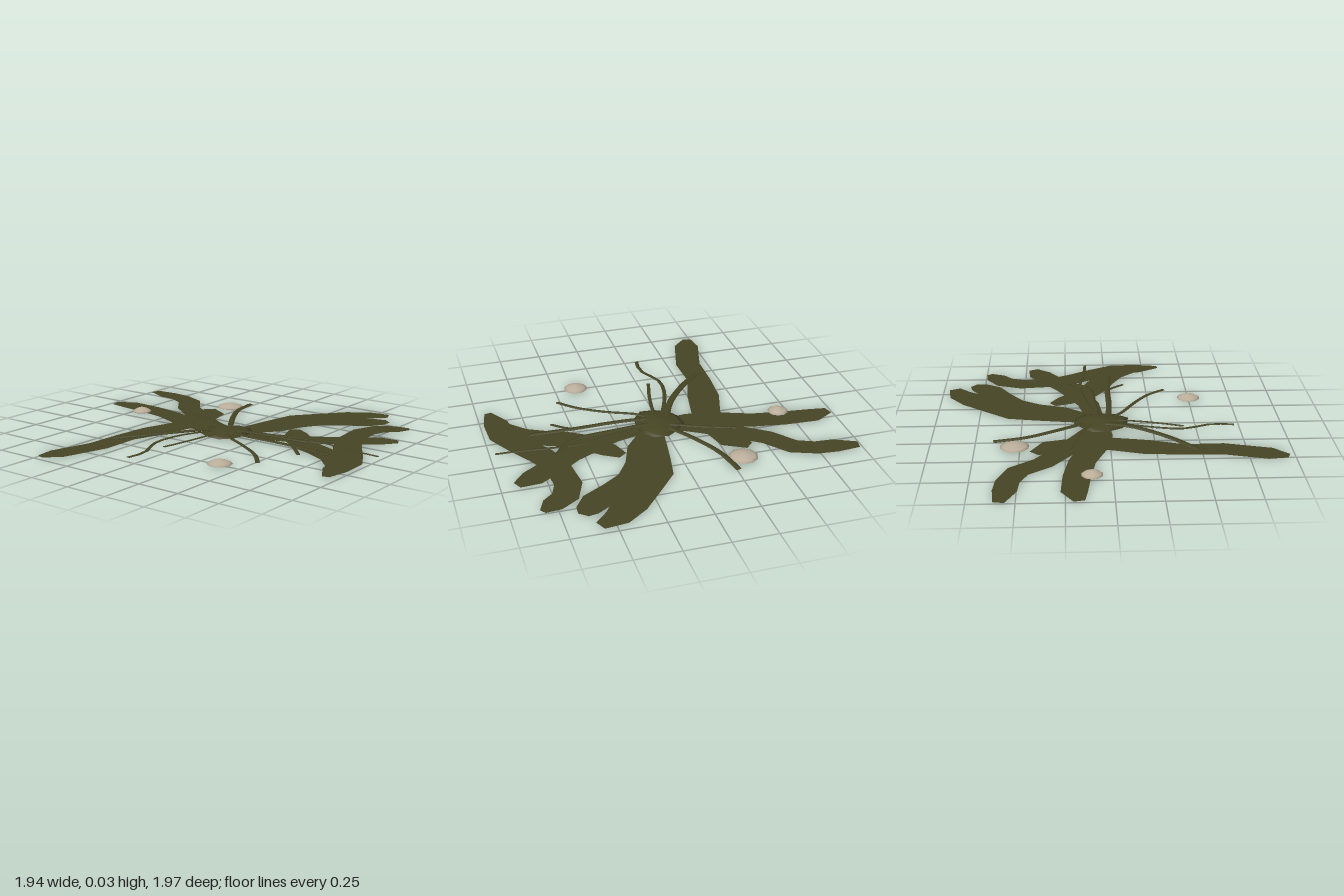
import * as THREE from 'three';

const weed = new THREE.MeshStandardMaterial({ color: 0x454424, side: THREE.DoubleSide });
weed.name = 'olive weed';
const stone = new THREE.MeshStandardMaterial({ color: 0xb9ad99 });
stone.name = 'pale stone';

// Flat ribbon lying on the ground; rows are [x, z, width]
function ribbon(rows, y) {
  const pos = [], idx = [];
  rows.forEach(([x, z, w], i) => {
    const a = rows[Math.max(i - 1, 0)], b = rows[Math.min(i + 1, rows.length - 1)];
    const dx = b[0] - a[0], dz = b[1] - a[1], k = w / 2 / Math.hypot(dx, dz);
    pos.push(x + dz * k, y, z - dx * k, x - dz * k, y, z + dx * k);
    if (i) {
      const n = 2 * i;
      idx.push(n - 2, n - 1, n, n - 1, n + 1, n);
    }
  });
  const g = new THREE.BufferGeometry();
  g.setAttribute('position', new THREE.Float32BufferAttribute(pos, 3));
  g.setIndex(idx);
  g.computeVertexNormals();
  // Keep the normals facing up whatever way the ribbon runs
  return g;
}

// Thin stem, flattened in height; path points are [x, y, z]
function stem(path, r) {
  const pts = path.map(p => new THREE.Vector3(p[0], p[1] * 4, p[2]));
  const g = new THREE.TubeGeometry(new THREE.CatmullRomCurve3(pts), 10, r, 5, false);
  return g.scale(1, 0.25, 1);
}

// Low closed dome, r wide and h high
function dome(r, h, sides) {
  const profile = [[0, 0], [r * 0.85, 0], [r, h * 0.16], [r * 0.8, h * 0.42],
    [r * 0.5, h * 0.74], [r * 0.2, h * 0.95], [0, h]];
  return new THREE.LatheGeometry(profile.map(p => new THREE.Vector2(...p)), sides);
}

const fronds = {
  backFrond: [[0.05, 0, 0.1], [0.06, -0.16, 0.16], [0.1, -0.35, 0.16], [0.16, -0.52, 0.15],
    [0.19, -0.7, 0.15], [0.205, -0.88, 0.14], [0.18, -0.985, 0.06]],
  backLeftFrond: [[0.08, -0.05, 0.1], [0.15, -0.2, 0.13], [0.26, -0.38, 0.14], [0.37, -0.53, 0.14],
    [0.5, -0.63, 0.14], [0.55, -0.75, 0.13], [0.56, -0.86, 0.13], [0.585, -0.99, 0.06]],
  crossFrond: [[-0.965, -0.485, 0.05], [-0.87, -0.45, 0.15], [-0.62, -0.38, 0.15], [-0.4, -0.38, 0.14],
    [-0.2, -0.34, 0.19], [0, -0.29, 0.17], [0.2, -0.29, 0.16], [0.34, -0.32, 0.15], [0.42, -0.405, 0.07]],
  leftOuterFrond: [[0.12, 0.07, 0.12], [0.28, 0.13, 0.19], [0.42, 0.16, 0.2], [0.54, 0.18, 0.2],
    [0.68, 0.29, 0.19], [0.8, 0.39, 0.19], [0.89, 0.48, 0.15], [0.935, 0.58, 0.07]],
  leftInnerFrond: [[0.12, 0.08, 0.12], [0.28, 0.17, 0.18], [0.44, 0.22, 0.19], [0.57, 0.31, 0.18],
    [0.65, 0.43, 0.17], [0.72, 0.55, 0.17], [0.785, 0.61, 0.13], [0.82, 0.64, 0.06]],
  frontFrond: [[0.07, 0.06, 0.1], [0.11, 0.3, 0.13], [0.17, 0.45, 0.15], [0.24, 0.58, 0.15],
    [0.33, 0.7, 0.15], [0.41, 0.82, 0.15], [0.455, 0.91, 0.06]],
  frontSlantFrond: [[0.325, 0.3, 0.06], [0.25, 0.36, 0.13], [0.14, 0.45, 0.16], [0.07, 0.56, 0.16],
    [0.02, 0.68, 0.16], [-0.05, 0.8, 0.15], [-0.15, 0.89, 0.14]],
  frontCrossFrond: [[-0.35, 0.935, 0.04], [-0.22, 0.91, 0.14], [-0.07, 0.895, 0.16], [0.06, 0.82, 0.16],
    [0.2, 0.73, 0.16], [0.35, 0.665, 0.14], [0.52, 0.65, 0.15], [0.63, 0.69, 0.15],
    [0.69, 0.77, 0.13], [0.735, 0.83, 0.04]],
};

const stems = [
  [[[0.02, 0.02, -0.04], [-0.13, 0.028, -0.11], [-0.32, 0.024, -0.25], [-0.475, 0.012, -0.4]], 0.021],
  [[[0, 0.02, -0.02], [-0.24, 0.024, -0.11], [-0.42, 0.02, -0.13], [-0.6, 0.016, -0.06], [-0.72, 0.015, -0.07]], 0.012],
  [[[0, 0.018, 0.02], [-0.15, 0.016, 0], [-0.3, 0.012, -0.03], [-0.43, 0.008, -0.065]], 0.011],
  [[[0, 0.018, 0.04], [-0.07, 0.017, 0.11], [-0.16, 0.012, 0.28], [-0.26, 0.01, 0.43], [-0.36, 0.006, 0.52]], 0.013],
  [[[0, 0.02, 0.05], [-0.012, 0.02, 0.25], [-0.01, 0.018, 0.48], [-0.025, 0.012, 0.75]], 0.018],
  [[[-0.01, 0.016, 0.5], [-0.05, 0.012, 0.55], [-0.11, 0.008, 0.61]], 0.012],
  [[[0.14, 0.018, -0.03], [0.3, 0.018, -0.13], [0.47, 0.014, -0.215], [0.65, 0.01, -0.255]], 0.018],
  [[[0.06, 0.02, 0.06], [0.08, 0.02, 0.3], [0.11, 0.017, 0.53], [0.22, 0.012, 0.64]], 0.018],
  [[[0.07, 0.02, 0.06], [0.12, 0.016, 0.3], [0.16, 0.013, 0.55], [0.13, 0.01, 0.8], [0.12, 0.008, 0.97]], 0.01],
  [[[0.1, 0.02, -0.04], [0.17, 0.018, -0.2], [0.23, 0.012, -0.39]], 0.011],
];

export function createModel() {
  const model = new THREE.Group();
  const add = (name, geometry, material) => {
    const mesh = new THREE.Mesh(geometry, material);
    mesh.name = name;
    model.add(mesh);
    return mesh;
  };

  // Broad flat fronds, stacked a hair apart
  Object.entries(fronds).forEach(([name, rows], i) => add(name, ribbon(rows, 0.002 + i * 0.0005), weed));

  // Thin stems arching out from the middle
  stems.forEach(([path, r], i) => add('stem' + (i + 1), stem(path, r), weed));

  // Central root clump with an uneven rim
  const clump = dome(0.16, 0.032, 11);
  const p = clump.attributes.position;
  for (let i = 0; i < p.count; i++) {
    const a = Math.atan2(p.getZ(i), p.getX(i));
    const k = 1 + 0.06 * Math.sin(3 * a) + 0.04 * Math.cos(5 * a);
    p.setXYZ(i, p.getX(i) * k, p.getY(i), p.getZ(i) * k * 0.88);
  }
  clump.computeVertexNormals();
  add('rootClump', clump, weed).position.set(0.04, 0, 0.015);

  // Scattered pebbles
  [[-0.5, 0.375, 0.07], [0.53, -0.325, 0.083], [0.11, -0.695, 0.06]].forEach(([x, z, r], i) => {
    add('pebble' + (i + 1), dome(r, 0.03, 10), stone).position.set(x, 0.004, z);
  });
  return model;
}
